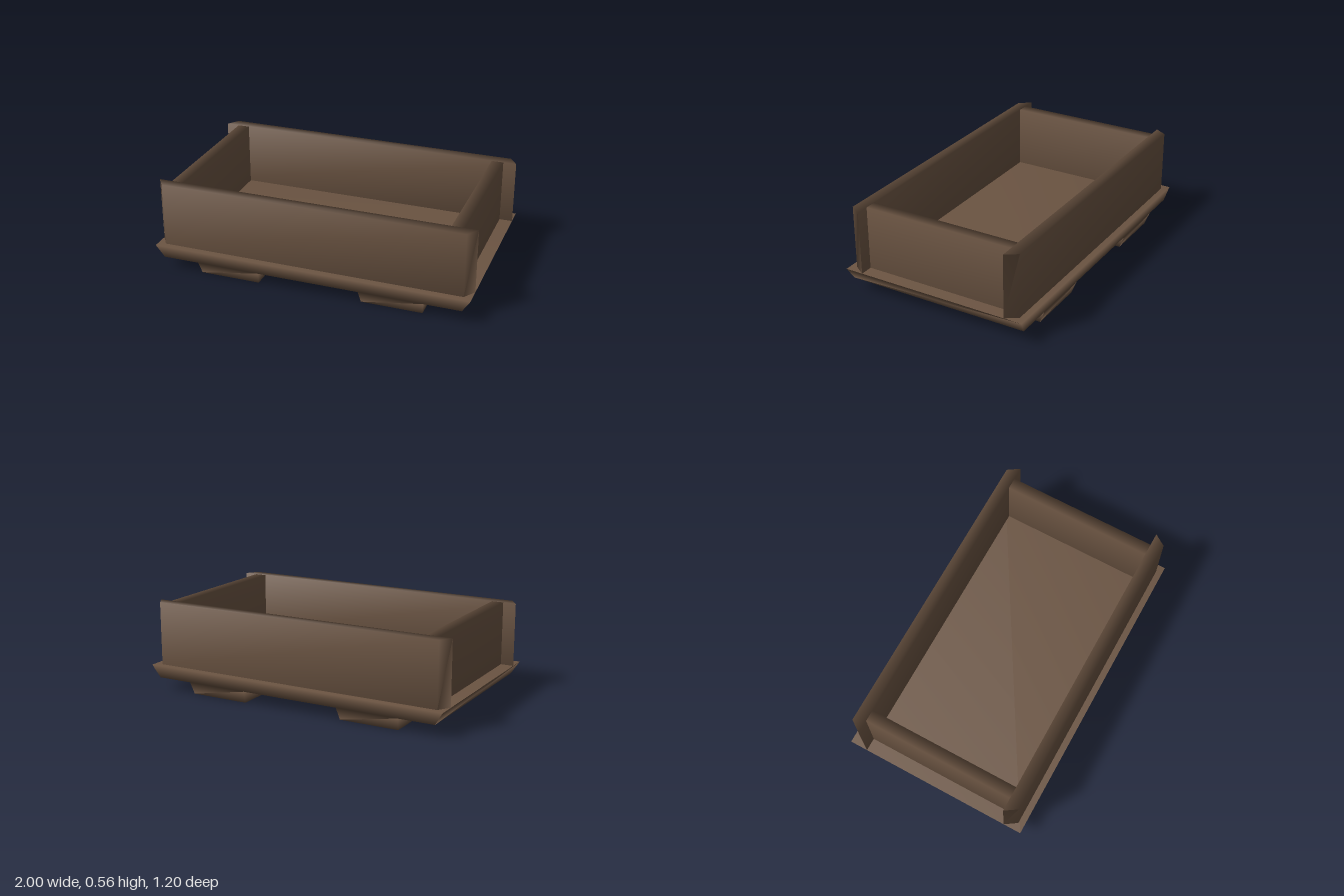
import * as THREE from 'three';
import { mergeVertices } from 'three/addons/utils/BufferGeometryUtils.js';

// Box from y0 to y1 whose vertices are moved by a rule, with smooth shared normals
function shapedBox(w, y0, y1, d, rule) {
  const box = new THREE.BoxGeometry(w, y1 - y0, d);
  box.translate(0, (y0 + y1) / 2, 0);
  const p = box.attributes.position;
  const v = new THREE.Vector3();
  for (let i = 0; i < p.count; i++) {
    v.fromBufferAttribute(p, i);
    if (rule) rule(v);
    p.setXYZ(i, v.x, v.y, v.z);
  }
  box.deleteAttribute('normal');
  box.deleteAttribute('uv');
  const merged = mergeVertices(box);
  merged.computeVertexNormals();
  return merged;
}

export function createModel() {
  const model = new THREE.Group();
  model.name = 'crate';
  const wood = new THREE.MeshStandardMaterial({ color: 0x6b5442 });
  wood.name = 'brown wood';

  function add(name, geometry, x = 0, z = 0, turn = 0) {
    const mesh = new THREE.Mesh(geometry, wood);
    mesh.name = name;
    mesh.position.set(x, 0, z);
    mesh.rotation.y = turn;
    model.add(mesh);
  }

  // Base plate, narrowing toward its underside
  add('basePlate', shapedBox(2, 0.08, 0.16, 1.2, (v) => {
    if (v.y < 0.12) { v.x *= 0.95; v.z *= 0.975; }
  }));

  // Long walls: wide on the inner face, bevelled in toward the outer face
  const longWall = shapedBox(2, 0.16, 0.56, 0.075, (v) => {
    if (v.z > 0) v.x *= 0.95;
  });
  add('frontWall', longWall, 0, 0.5225);
  add('backWall', longWall, 0, -0.5225, Math.PI);

  // End walls and tapered runners, one of each per side
  const endWall = shapedBox(0.075, 0.16, 0.56, 0.97);
  const runner = shapedBox(0.4, 0, 0.08, 1.17, (v) => {
    if (v.y < 0.04) { v.x *= 0.95; v.z *= 0.948; }
  });
  for (const [side, s] of [['left', 1], ['right', -1]]) {
    add(side + 'EndWall', endWall, s * 0.88);
    add(side + 'Runner', runner, s * 0.52);
  }
  return model;
}
